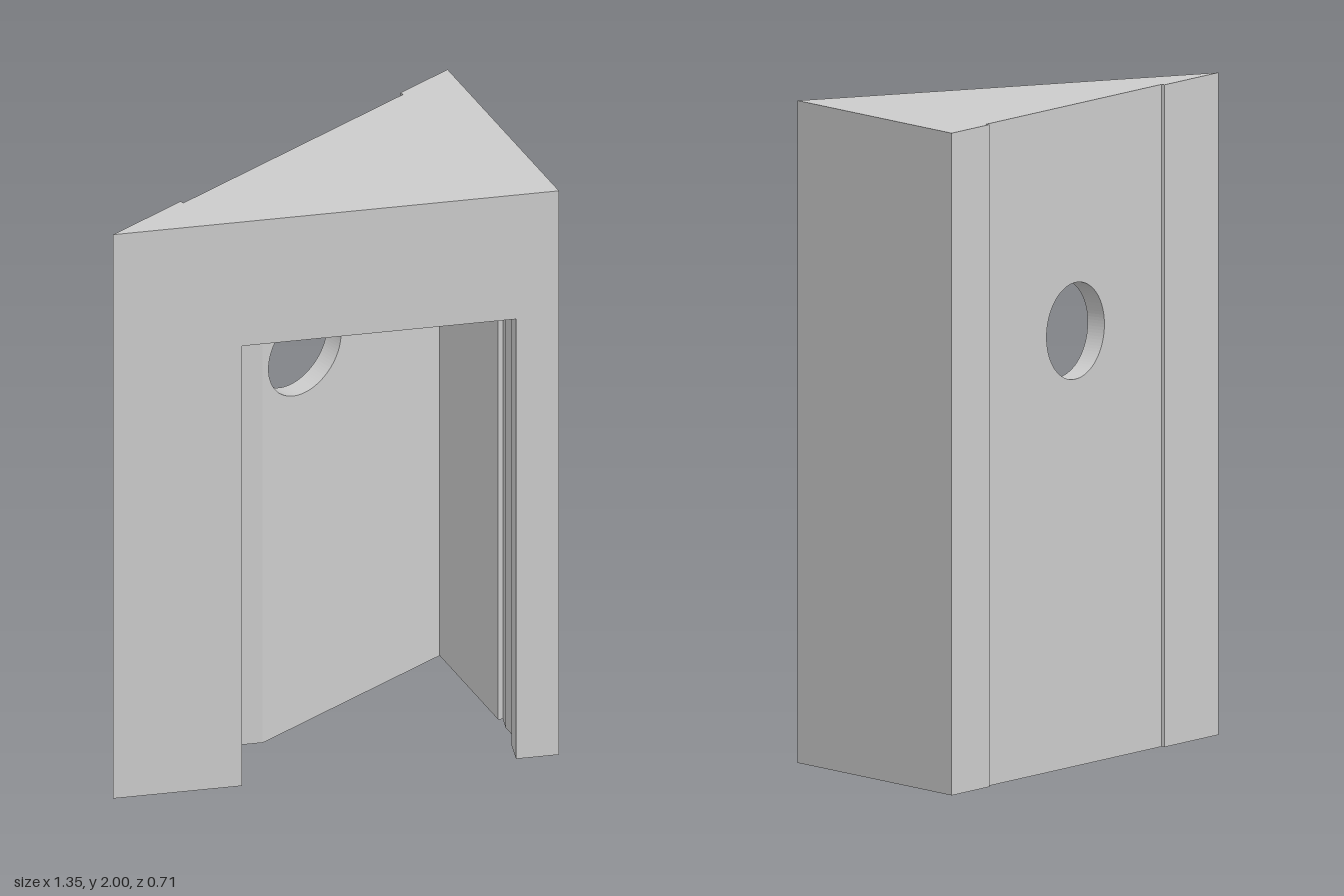
import * as THREE from 'three';

const material = new THREE.MeshStandardMaterial({ color: 0xcccccc });
const HEIGHT = 2, DOOR_TOP = 1.56, CEILING = 1.925;
const WALL = 0.074, RECESS = 0.012;

// Plan corners as [x, z]
const A = [-0.675, 0.357], B = [0.675, 0.357], C = [0.467, -0.357];
const length = Math.hypot(C[0] - A[0], C[1] - A[1]);
const ux = (C[0] - A[0]) / length, uz = (C[1] - A[1]) / length;

// Point on the slanted back wall: s along it from A, d inward
const back = (s, d) => [A[0] + ux * s - uz * d, A[1] + uz * s + ux * d];

// Back wall stations: recess ends and the panel holding the round hole
const R0 = 0.272, R1 = 1.157, P0 = 0.545, P1 = 0.865;

// Extrudes a plan outline between two heights
function prism(name, points, y0, y1) {
  const shape = new THREE.Shape(points.map(([x, z]) => new THREE.Vector2(x, -z)));
  const geometry = new THREE.ExtrudeGeometry(shape, { depth: y1 - y0, bevelEnabled: false });
  geometry.rotateX(-Math.PI / 2).translate(0, y0, 0);
  const mesh = new THREE.Mesh(geometry, material);
  mesh.name = name;
  return mesh;
}

export function createModel() {
  const group = new THREE.Group();
  group.name = 'triangularShelter';

  const innerA = [-0.414, 0.283], innerB = [0.574, 0.283], innerC = [0.422, -0.241];
  const leftBack = [A, back(R0, 0), back(R0, RECESS), back(P0, RECESS), back(P0, WALL)];
  const rightBack = [back(P1, WALL), back(P1, RECESS), back(R1, RECESS), back(R1, 0), C, B];

  // Wall left of the doorway, with the doorway cut notched into the back wall
  group.add(prism('doorSideWall', [
    ...leftBack,
    [-0.182, 0.135], [-0.285, 0.135], [-0.285, 0.202], innerA, [-0.285, 0.283], [-0.285, 0.357],
  ], 0, DOOR_TOP));

  // Wall right of the doorway
  group.add(prism('cornerWall', [
    ...rightBack,
    [0.545, 0.357], [0.545, 0.283], innerB, [0.545, 0.184], [0.545, 0.135], [0.531, 0.135], innerC,
  ], 0, DOOR_TOP));

  // Walls above the doorway
  group.add(prism('upperWalls', [...leftBack, innerA, innerB, innerC, ...rightBack], DOOR_TOP, CEILING));

  // Solid top
  group.add(prism('roof', [
    A, back(R0, 0), back(R0, RECESS), back(R1, RECESS), back(R1, 0), C, B,
  ], CEILING, HEIGHT));

  // Back wall panel with the round hole
  const panel = new THREE.Shape();
  panel.moveTo(P0, 0).lineTo(P1, 0).lineTo(P1, CEILING).lineTo(P0, CEILING).closePath();
  panel.holes.push(new THREE.Path().absarc((P0 + P1) / 2, 1.315, 0.146, 0, Math.PI * 2, true));
  const geometry = new THREE.ExtrudeGeometry(panel, {
    depth: WALL - RECESS, bevelEnabled: false, curveSegments: 48,
  });
  const origin = back(0, RECESS);
  geometry.applyMatrix4(new THREE.Matrix4().makeBasis(
    new THREE.Vector3(ux, 0, uz), new THREE.Vector3(0, 1, 0), new THREE.Vector3(-uz, 0, ux),
  ).setPosition(origin[0], 0, origin[1]));
  const holePanel = new THREE.Mesh(geometry, material);
  holePanel.name = 'backPanelWithHole';
  group.add(holePanel);

  return group;
}
